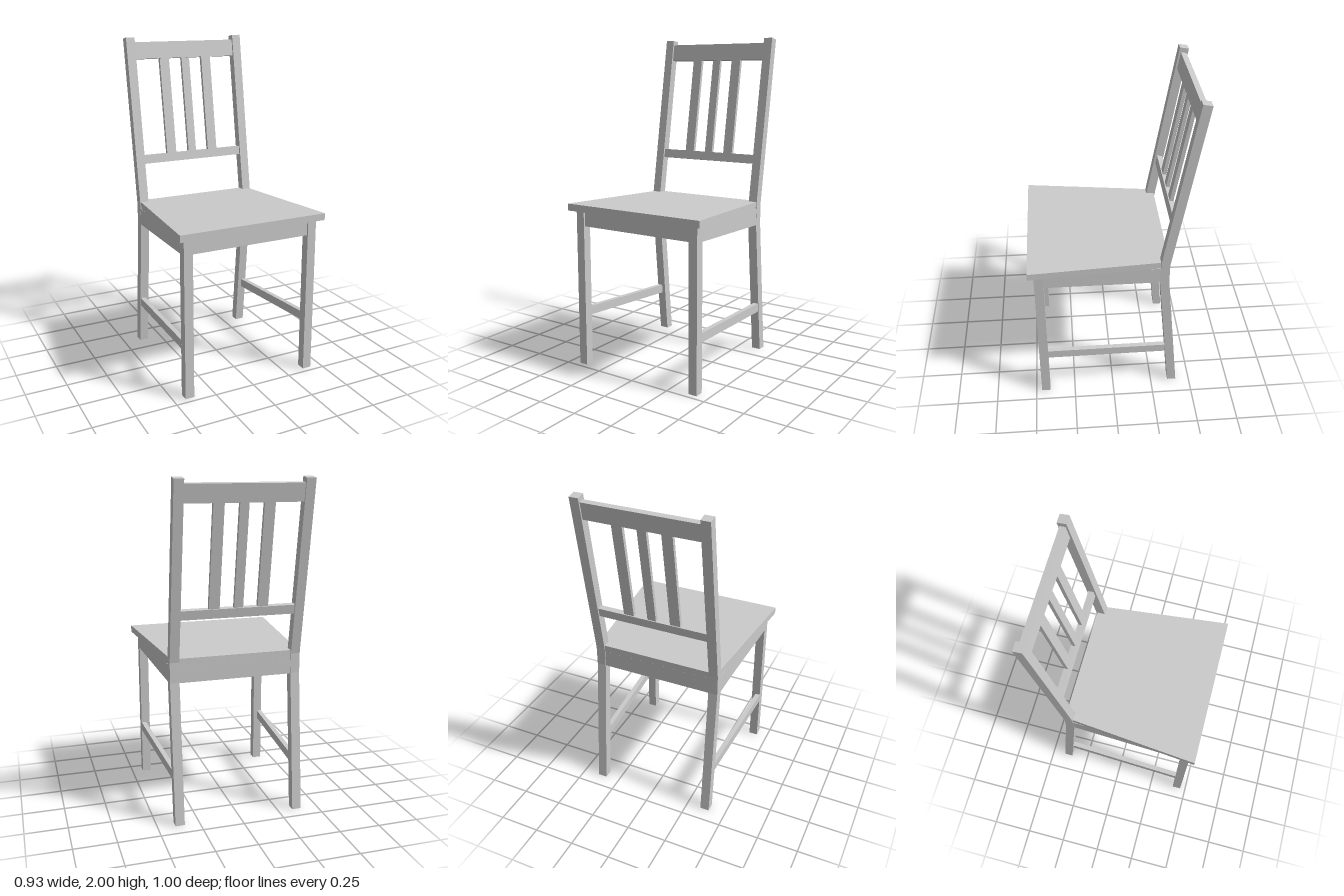
import * as THREE from 'three';

const material = new THREE.MeshStandardMaterial({ color: 0xcccccc, flatShading: true });

// Extrude a side profile of [z, y] points across the chair from x0 to x1
function sidePrism(points, x0, x1) {
  const shape = new THREE.Shape(points.map(([z, y]) => new THREE.Vector2(z, y)));
  const geo = new THREE.ExtrudeGeometry(shape, { depth: x1 - x0, bevelEnabled: false });
  return geo.rotateY(-Math.PI / 2).translate(x1, 0, 0);
}

// Move vertices by a rule, then refresh the normals
function reshape(geo, rule) {
  const p = geo.attributes.position;
  const v = new THREE.Vector3();
  for (let i = 0; i < p.count; i++) {
    rule(v.fromBufferAttribute(p, i));
    p.setXYZ(i, v.x, v.y, v.z);
  }
  geo.computeVertexNormals();
  return geo;
}

// Point on the leaning backrest: height y on the post front, depth d behind it
const LEAN = 0.163;
const NORM = Math.hypot(1, LEAN);
const backPoint = (y, d) => [-0.28 - LEAN * (y - 0.99) - d / NORM, y - (d * LEAN) / NORM];
const backProfile = (y0, y1, d0, d1) =>
  [backPoint(y0, d0), backPoint(y1, d0), backPoint(y1, d1), backPoint(y0, d1)];

// Seat underside height at depth z
const seatBottom = (z) => 0.957 + 0.027 * z;

export function createModel() {
  const chair = new THREE.Group();
  chair.name = 'chair';
  const add = (name, geo) => {
    const mesh = new THREE.Mesh(geo, material);
    mesh.name = name;
    chair.add(mesh);
  };

  // Tapered seat board, notched around the back posts and sloping to the rear
  const outline = [
    [-0.467, 0.5], [0.467, 0.5], [0.391, -0.278], [0.34, -0.278],
    [0.34, -0.327], [-0.34, -0.327], [-0.34, -0.278], [-0.391, -0.278],
  ];
  const seatShape = new THREE.Shape(outline.map(([x, z]) => new THREE.Vector2(x, -z)));
  const seat = new THREE.ExtrudeGeometry(seatShape, { depth: 0.042, bevelEnabled: false });
  seat.rotateX(-Math.PI / 2);
  add('seat', reshape(seat, (v) => { v.y += seatBottom(v.z); }));

  // Bent back post profile, from foot to top
  const postProfile = [
    [-0.36, 0], [-0.277, 0.85], [-0.28, 0.99], [-0.445, 2],
    [-0.498, 1.991], [-0.332, 0.97], [-0.332, 0.85], [-0.415, 0],
  ];
  const sideApron = [
    [0.412, 0.877], [0.412, seatBottom(0.412)], [-0.28, seatBottom(-0.28)], [-0.28, 0.845],
  ];
  const stretcher = [[0.412, 0.3], [0.412, 0.354], [-0.335, 0.318], [-0.33, 0.264]];

  for (const [side, s] of [['left', 1], ['right', -1]]) {
    const span = (a, b) => (s > 0 ? [a, b] : [-b, -a]);
    // Side rails run inward toward the narrower back
    const splay = (geo) => reshape(geo, (v) => { v.x += s * 0.0507 * (v.z - 0.41); });

    add(side + 'BackPost', sidePrism(postProfile, ...span(0.34, 0.396)));
    const leg = new THREE.BoxGeometry(0.055, 0.968, 0.055);
    add(side + 'FrontLeg', leg.translate(s * 0.4025, 0.484, 0.4375));
    add(side + 'Apron', splay(sidePrism(sideApron, ...span(0.4, 0.43))));
    add(side + 'Stretcher', splay(sidePrism(stretcher, ...span(0.4, 0.43))));
  }

  // Front and rear aprons
  add('frontApron', sidePrism([[0.455, 0.876], [0.455, 0.968], [0.425, 0.968], [0.425, 0.876]], -0.376, 0.376));
  add('rearApron', sidePrism([[-0.297, 0.847], [-0.297, 0.949], [-0.327, 0.948], [-0.327, 0.846]], -0.341, 0.341));

  // Backrest rails and three slats
  add('topRail', sidePrism(backProfile(1.87, 1.972, 0.012, 0.046), -0.341, 0.341));
  add('lowerRail', sidePrism(backProfile(1.226, 1.28, 0.012, 0.046), -0.341, 0.341));
  const slats = [[-0.177, -0.114], [-0.027, 0.026], [0.112, 0.175]];
  slats.forEach(([a, b], i) => {
    add('backSlat' + (i + 1), sidePrism(backProfile(1.27, 1.88, 0.018, 0.04), a, b));
  });

  return chair;
}
